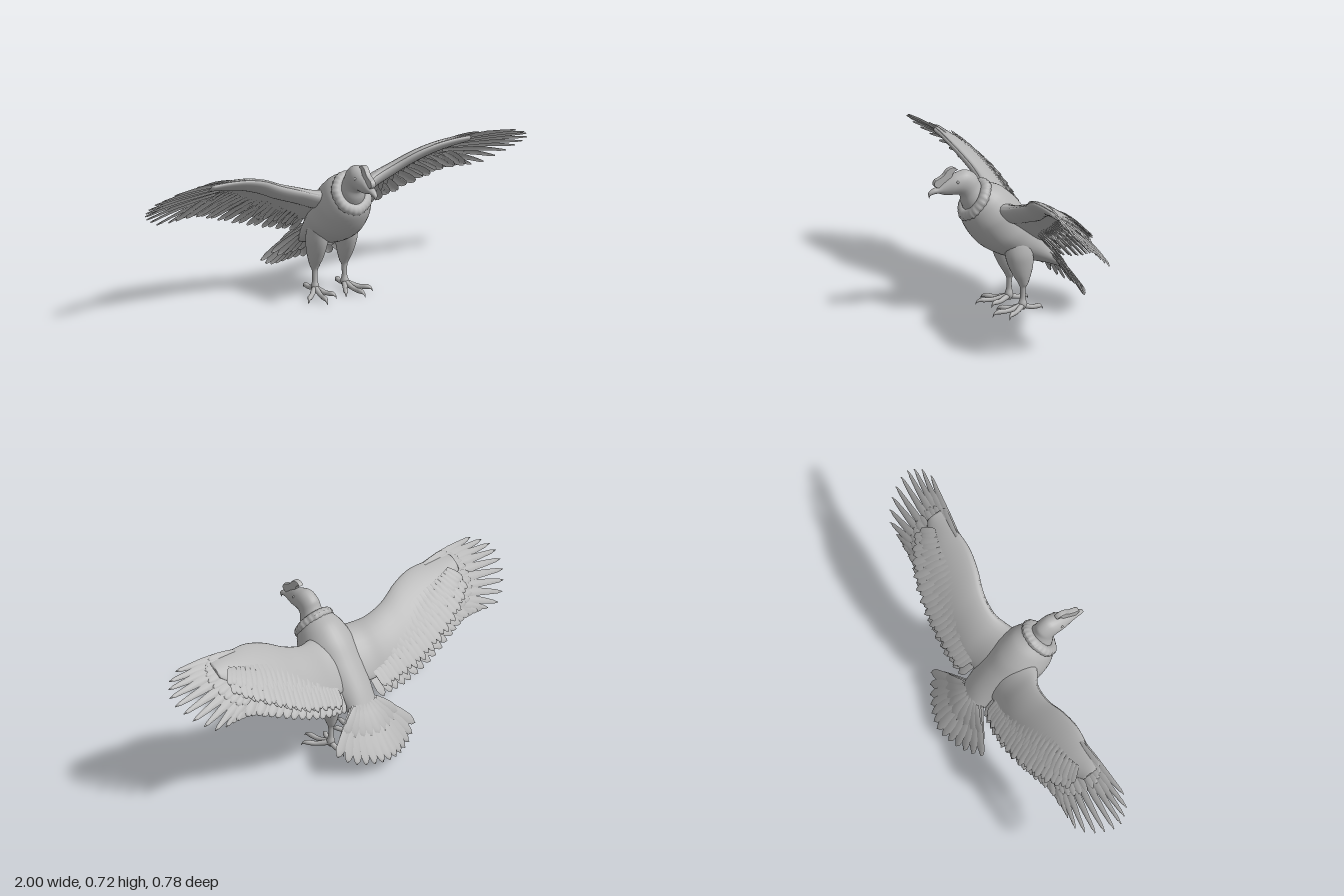
import * as THREE from 'three';
import { mergeGeometries } from 'three/addons/utils/BufferGeometryUtils.js';

const V = (x, y, z) => new THREE.Vector3(x, y, z);
const curve = pts => new THREE.CatmullRomCurve3(pts.map(p => V(...p)));
const UP = V(0, 1, 0);
const WING_N = V(0, 0.66, -0.75); // upper side of the wing

// Closed smooth tube through sections; each section is [edge a, opposite edge b, half-width vector]
function loft(sections, steps = 40, sides = 24, camber = 0) {
  const [ca, cb, cw] = [0, 1, 2].map(k => curve(sections.map(s => s[k])));
  const pos = [], idx = [];
  for (let i = -1; i <= steps + 1; i++) {
    const t = Math.min(Math.max(i / steps, 0), 1);
    const cap = i < 0 || i > steps;
    const a = ca.getPoint(t), b = cb.getPoint(t), w = cw.getPoint(t);
    const mid = a.clone().add(b).multiplyScalar(0.5);
    const half = a.clone().sub(b).multiplyScalar(0.5);
    for (let j = 0; j < sides; j++) {
      const q = (j / sides) * Math.PI * 2, c = Math.cos(q);
      const p = mid.clone();
      if (camber) p.addScaledVector(WING_N, camber * (1 - c * c));
      if (!cap) p.addScaledVector(half, c).addScaledVector(w, Math.sin(q) * (camber ? 0.68 + 0.32 * c : 1));
      pos.push(p.x, p.y, p.z);
    }
  }
  for (let i = 0; i < steps + 2; i++) for (let j = 0; j < sides; j++) {
    const k = (j + 1) % sides, r = i * sides, n = r + sides;
    idx.push(r + j, n + j, r + k, r + k, n + j, n + k);
  }
  return build(pos, idx);
}

function build(pos, idx) {
  const g = new THREE.BufferGeometry();
  g.setAttribute('position', new THREE.Float32BufferAttribute(pos, 3));
  g.setIndex(idx);
  g.computeVertexNormals();
  return g;
}

// Sections lying in the middle plane: [frontZ, frontY, backZ, backY, halfWidth]
const profile = (rows, x = 0, sign = 1) => rows.map(([fz, fy, bz, by, w]) => [[x, fy, fz], [x, by, bz], [sign * w, 0, 0]]);

// One feather blade with a raised quill, bowed along n
function feather(base, tip, w, n, bow = 0, pointed = false) {
  const shape = pointed
    ? [[0, 0.7], [0.3, 1], [0.55, 0.95], [0.75, 0.7], [0.92, 0.45], [1, 0.05]]
    : [[0, 0.6], [0.3, 0.85], [0.6, 1], [0.85, 0.95], [0.95, 0.6], [1, 0.1]];
  const side = tip.clone().sub(base).cross(n).normalize();
  const pos = [], idx = [];
  shape.forEach(([t, k], i) => {
    const c = base.clone().lerp(tip, t).addScaledVector(n, bow * Math.sin(Math.PI * t));
    for (const s of [-1, 0, 1]) {
      const p = c.clone().addScaledVector(side, s * w * k).addScaledVector(n, s ? -0.15 * w : 0.15 * w);
      pos.push(p.x, p.y, p.z);
    }
    if (i) for (const s of [0, 1]) {
      const r = (i - 1) * 3 + s;
      idx.push(r, r + 1, r + 3, r + 1, r + 4, r + 3);
    }
  });
  return build(pos, idx);
}

// Count feathers spread evenly, each made by fn(t, i)
const row = (count, fn) => mergeGeometries(Array.from({ length: count }, (_, i) => fn(i / (count - 1), i)));

export function createModel() {
  const grey = new THREE.MeshStandardMaterial({ color: 0xb4b4b4, side: THREE.DoubleSide });
  grey.name = 'plumage grey';
  const model = new THREE.Group();
  model.name = 'vulture';
  const add = (name, geo, parent = model) => {
    const m = new THREE.Mesh(geo, grey);
    m.name = name;
    parent.add(m);
    return m;
  };

  // Body
  add('body', loft(profile([
    [0.19, 0.55, 0.10, 0.63, 0.07], [0.22, 0.48, 0.03, 0.605, 0.105], [0.195, 0.41, -0.04, 0.545, 0.128],
    [0.13, 0.33, -0.10, 0.465, 0.13], [0.03, 0.27, -0.15, 0.395, 0.115], [-0.10, 0.23, -0.19, 0.335, 0.09],
    [-0.20, 0.20, -0.225, 0.275, 0.07], [-0.25, 0.18, -0.265, 0.205, 0.05],
  ]), 48, 32));

  // Neck, head and hooked beak in one sweep
  add('neckAndHead', loft(profile([
    [0.205, 0.50, 0.08, 0.58, 0.07], [0.222, 0.54, 0.12, 0.615, 0.058], [0.229, 0.575, 0.138, 0.645, 0.05],
    [0.24, 0.588, 0.152, 0.675, 0.048], [0.26, 0.592, 0.20, 0.703, 0.047], [0.287, 0.593, 0.25, 0.695, 0.041],
    [0.315, 0.597, 0.295, 0.675, 0.03], [0.34, 0.606, 0.345, 0.64, 0.02], [0.365, 0.606, 0.372, 0.63, 0.015],
    [0.383, 0.598, 0.39, 0.615, 0.008], [0.385, 0.588, 0.388, 0.592, 0.002],
  ], 0, -1), 52, 24));

  // Fleshy comb above the beak
  const comb = new THREE.Shape();
  comb.moveTo(0.345, 0.638);
  comb.quadraticCurveTo(0.375, 0.65, 0.355, 0.672);
  comb.quadraticCurveTo(0.315, 0.685, 0.305, 0.705);
  comb.quadraticCurveTo(0.28, 0.735, 0.25, 0.712);
  comb.quadraticCurveTo(0.275, 0.71, 0.28, 0.675);
  comb.lineTo(0.30, 0.645);
  const combGeo = new THREE.ExtrudeGeometry(comb, {
    depth: 0.01, bevelEnabled: true, bevelSize: 0.004, bevelThickness: 0.008, bevelSegments: 3, curveSegments: 8,
  });
  add('comb', combGeo.rotateY(-Math.PI / 2).translate(0.005, 0, 0));

  // Feathery neck ruff
  const ruff = new THREE.TorusGeometry(0.08, 0.03, 14, 96);
  const rp = ruff.attributes.position;
  for (let i = 0; i < rp.count; i++) {
    const a = Math.atan2(rp.getY(i), rp.getX(i));
    const k = 1 + 0.018 * Math.sin(a * 24) + 0.015 * Math.sin(a * 7);
    rp.setXYZ(i, rp.getX(i) * k * 0.9, rp.getY(i) * k, rp.getZ(i) * 0.85);
  }
  ruff.computeVertexNormals();
  add('neckRuff', ruff.rotateX(-0.61).translate(0, 0.553, 0.158));

  // Tail fan in layers
  const tailN = V(0, 0.55, -0.83);
  const tailFeather = (len, lift, w) => t => {
    const s = t * 2 - 1;
    const base = V(s * 0.06, 0.285, -0.20).addScaledVector(tailN, lift);
    const tip = V(s * 0.235, 0.06 + 0.06 * s ** 4, -0.382 + 0.10 * Math.abs(s) ** 1.6);
    return feather(base, base.clone().lerp(tip, len), w, tailN, 0.006);
  };
  add('tailFeathers', row(13, tailFeather(1, 0, 0.026)));
  add('tailCoverts', row(9, tailFeather(0.55, 0.012, 0.024)));
  add('underTailCoverts', row(9, tailFeather(0.75, -0.016, 0.024)));

  // Wing layout: [x, leadY, leadZ, trailY, trailZ, halfThickness]
  const wing = [
    [0.04, 0.535, 0.10, 0.34, -0.13, 0.07], [0.12, 0.54, 0.07, 0.35, -0.145, 0.055],
    [0.20, 0.565, 0.032, 0.38, -0.16, 0.036], [0.30, 0.603, 0.03, 0.415, -0.165, 0.028],
    [0.40, 0.652, 0.055, 0.465, -0.155, 0.024], [0.50, 0.68, 0.07, 0.515, -0.135, 0.02],
    [0.60, 0.685, 0.065, 0.56, -0.10, 0.015], [0.68, 0.682, 0.06, 0.60, -0.05, 0.009],
    [0.73, 0.677, 0.055, 0.63, -0.02, 0.004],
  ];
  const lead = curve(wing.map(r => [r[0], r[1], r[2]]));
  const trail = curve(wing.map(r => [r[0], r[3], r[4]]));
  const onWing = (u, s, lift) => lead.getPoint(u).lerp(trail.getPoint(u), s).addScaledVector(WING_N, lift);
  const trailTips = curve([
    [0.12, 0.275, -0.20], [0.25, 0.305, -0.215], [0.40, 0.355, -0.205], [0.55, 0.415, -0.175],
    [0.66, 0.455, -0.15], [0.76, 0.455, -0.145],
  ]);
  const handTips = curve([
    [0.90, 0.68, 0.095], [0.96, 0.652, 0.075], [0.985, 0.628, 0.045], [1.0, 0.593, 0.015],
    [0.985, 0.56, -0.03], [0.96, 0.525, -0.07], [0.92, 0.49, -0.11], [0.87, 0.455, -0.14], [0.80, 0.45, -0.145],
  ]);
  const handBases = curve([[0.58, 0.675, 0.055], [0.60, 0.642, 0.02], [0.60, 0.59, -0.05], [0.58, 0.55, -0.09]]);

  // Parts of one half, built on +x and mirrored
  for (const [sideName, sign] of [['left', 1], ['right', -1]]) {
    const half = new THREE.Group();
    half.name = sideName + 'Side';
    half.scale.x = sign;
    model.add(half);
    const part = (name, geo) => add(sideName + name, geo, half);

    part('WingBlade', loft(wing.map(([x, ly, lz, ty, tz, h]) =>
      [[x, ly, lz], [x, ty, tz], WING_N.clone().multiplyScalar(h).toArray()]), 48, 24, 0.012));
    // Fleshy arm along the leading edge
    part('WingArm', loft(wing.slice(0, 8).map((r, i) => {
      const u = i / (wing.length - 1);
      return [onWing(u, 0.01, -0.008).toArray(), onWing(u, 0.42, -0.008).toArray(),
        WING_N.clone().multiplyScalar(0.012 + 0.024 * (1 - i / 7)).toArray()];
    }), 36, 20));
    part('Secondaries', row(19, (t, i) =>
      feather(onWing(0.1 + 0.62 * t, 0.6, 0.006), trailTips.getPoint(t).addScaledVector(WING_N, (i % 2) * 0.006),
        0.025, WING_N, 0.006)));
    part('Primaries', row(10, (t, i) =>
      feather(handBases.getPoint(t).addScaledVector(WING_N, (i % 2) * 0.005), handTips.getPoint(t),
        0.021, WING_N, 0.01, true)));
    part('HandCoverts', row(11, t => {
      const base = handBases.getPoint(t);
      return feather(base.clone().addScaledVector(WING_N, 0.01),
        base.lerp(handTips.getPoint(t), 0.46).addScaledVector(WING_N, 0.015), 0.02, WING_N, 0.004);
    }));
    // Scalloped covert rows above and below the arm
    for (const [name, s0, s1, l0, l1] of [
      ['UpperCoverts', 0.6, 1.2, 0.02, 0.011], ['MiddleCoverts', 0.45, 0.9, 0.026, 0.019], ['UnderCoverts', 0.6, 1.15, 0.0, -0.01],
    ]) part(name, row(24, (t, i) => {
      const u = 0.12 + 0.72 * t;
      const tip = onWing(u, s1 + 0.05 * (i % 2), l1);
      tip.x += 0.02 + 0.03 * t;
      return feather(onWing(u, s0, l0), tip, 0.019, WING_N, 0.004);
    }));

    // Feathered thigh running into the bare shank
    part('Leg', loft(profile([
      [0.02, 0.40, -0.05, 0.40, 0.015], [0.038, 0.34, -0.085, 0.34, 0.04], [0.035, 0.28, -0.10, 0.28, 0.048],
      [0.02, 0.23, -0.10, 0.22, 0.042], [-0.005, 0.18, -0.09, 0.18, 0.034], [-0.03, 0.14, -0.075, 0.135, 0.022],
      [-0.038, 0.12, -0.066, 0.12, 0.014], [-0.038, 0.07, -0.064, 0.07, 0.012], [-0.03, 0.04, -0.07, 0.038, 0.019],
      [-0.04, 0.017, -0.06, 0.015, 0.012],
    ], 0.078), 44, 18));

    // Toes with hooked claws
    const toes = [[0.10, 0.11], [0.17, 0.055], [0.025, 0.06], [0.085, -0.15]];
    part('Toes', mergeGeometries(toes.map(([x, z]) => {
      const start = V(0.078, 0, -0.05), end = V(x, 0, z);
      const d = end.clone().sub(start).normalize(), w = UP.clone().cross(d);
      const rows = [[0, 0.035, 0.014], [0.25, 0.026, 0.013], [0.5, 0.02, 0.011], [0.75, 0.022, 0.012],
        [0.86, 0.022, 0.009], [0.95, 0.016, 0.005], [1, 0.003, 0.001]];
      return loft(rows.map(([t, y, r]) => {
        const p = start.clone().lerp(end, t);
        return [[p.x, p.y + y + r, p.z], [p.x, p.y + y - r, p.z], w.clone().multiplyScalar(r).toArray()];
      }), 20, 10);
    })));

    part('Eye', new THREE.SphereGeometry(0.007, 12, 8).translate(0.037, 0.66, 0.258));
  }
  return model;
}
